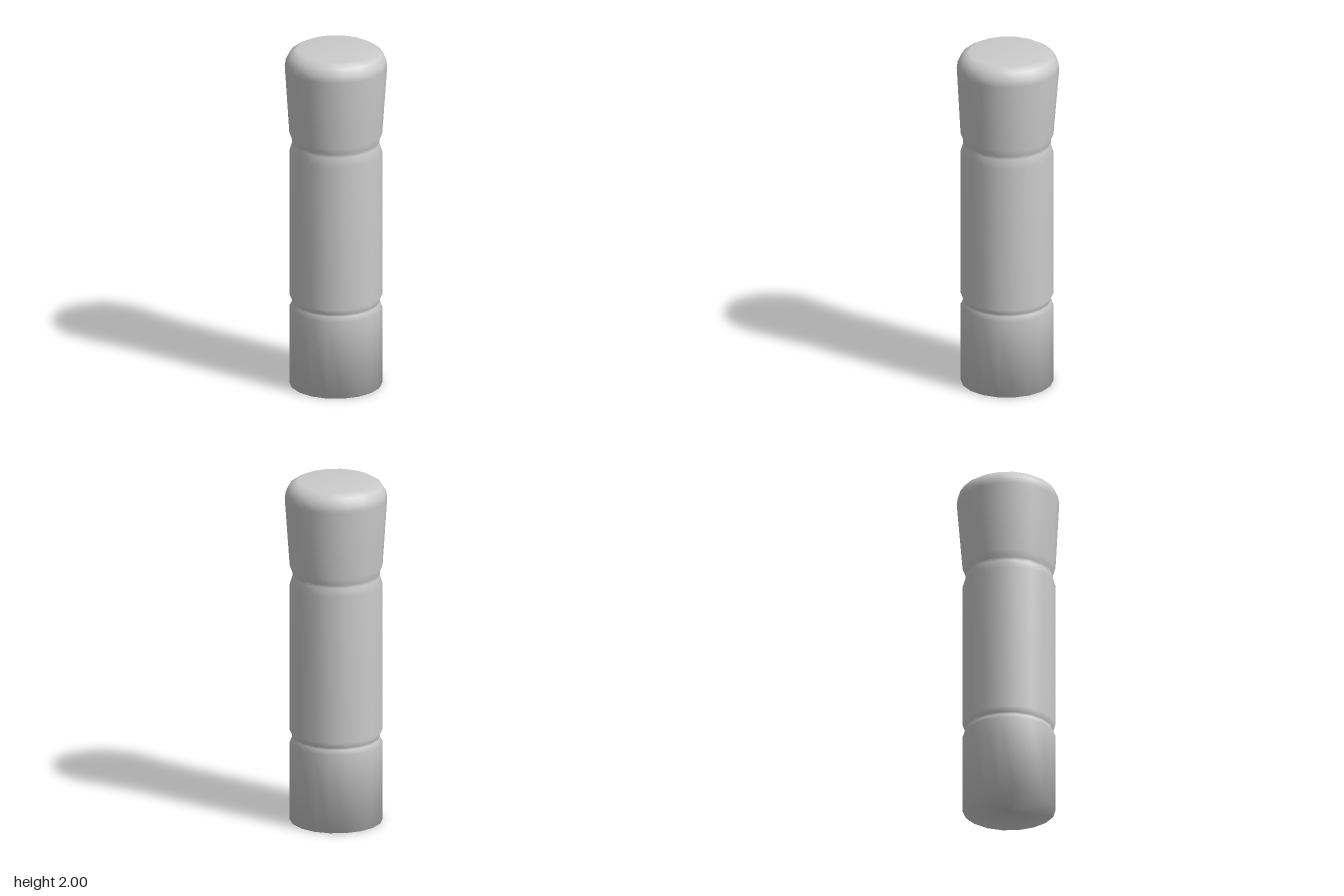
import * as THREE from 'three';

export function createModel() {
  const group = new THREE.Group();
  group.name = 'grip';

  // Radius and height from the base centre to the top centre
  const profile = [
    [0, 0], [0.261, 0],                                  // flat base
    [0.261, 0.46], [0.247, 0.485], [0.247, 0.5], [0.261, 0.53], // lower groove
    [0.261, 1.39], [0.246, 1.44], [0.246, 1.46], [0.261, 1.5],  // upper groove
    [0.288, 1.9], [0.282, 1.94], [0.26, 1.975], [0.218, 2],     // flared, rounded head
    [0, 2],
  ].map(([r, y]) => new THREE.Vector2(r, y));

  const geometry = new THREE.LatheGeometry(profile, 18);

  // The shaft sits very slightly forward of the head
  const pos = geometry.attributes.position;
  for (let i = 0; i < pos.count; i++) {
    pos.setZ(i, pos.getZ(i) + (pos.getY(i) < 1.6 ? 0.007 : 0.001));
  }

  const handle = new THREE.Mesh(geometry, new THREE.MeshStandardMaterial({ color: 0xcccccc }));
  handle.name = 'handle';
  group.add(handle);
  return group;
}
